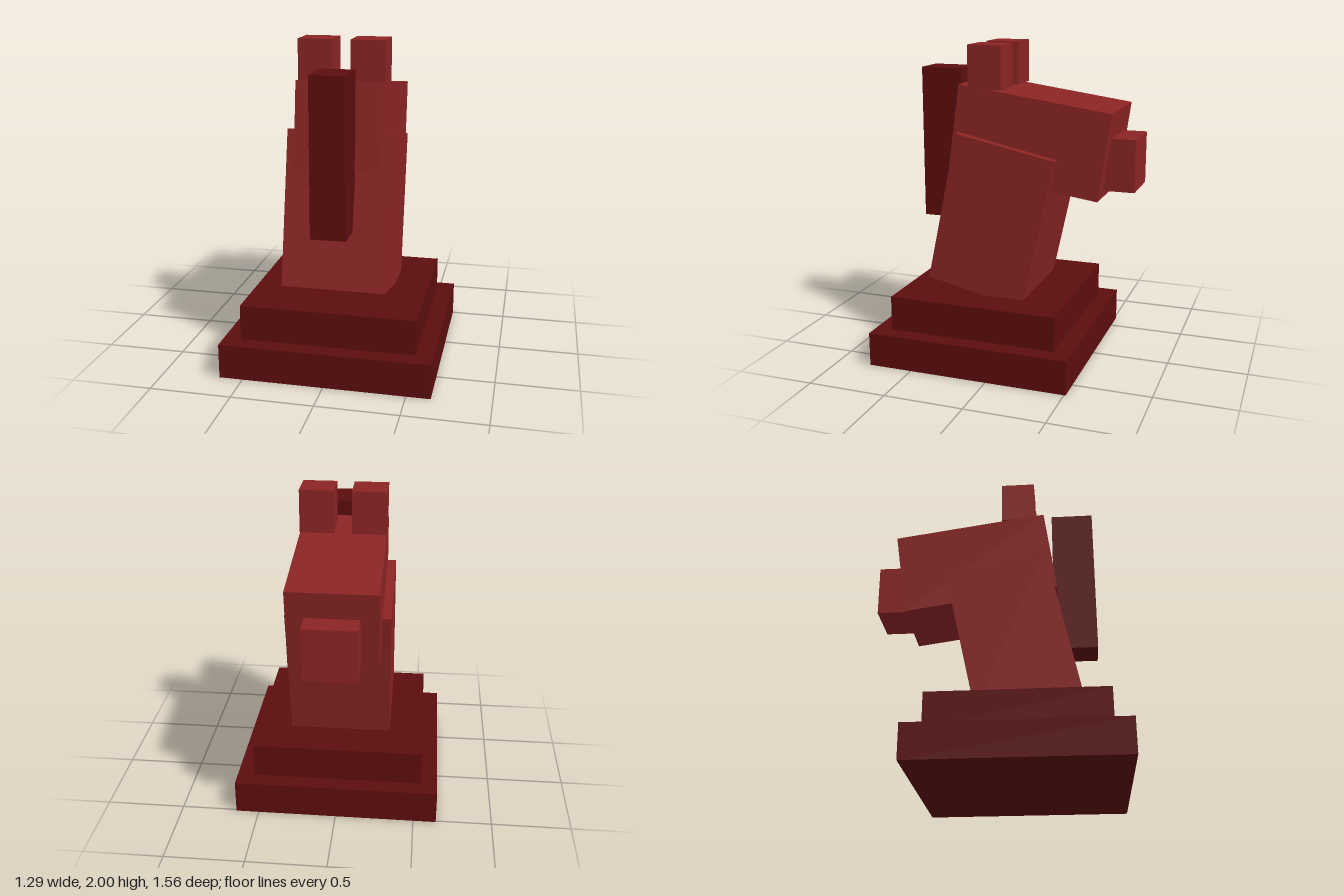
import * as THREE from 'three';

export function createModel() {
  const group = new THREE.Group();
  const red = new THREE.MeshStandardMaterial({ color: 0x8a2424 });
  red.name = 'red';
  const darkRed = new THREE.MeshStandardMaterial({ color: 0x5c0d0d });
  darkRed.name = 'dark red';

  // Box given by size and centre, tilted about x
  function block(name, material, size, centre, tilt = 0) {
    const mesh = new THREE.Mesh(new THREE.BoxGeometry(...size), material);
    mesh.name = name;
    mesh.position.set(...centre);
    mesh.rotation.x = tilt;
    group.add(mesh);
  }

  // Stepped pedestal
  block('lowerBase', darkRed, [1.292, 0.215, 1.292], [0, 0.1075, 0.135]);
  block('upperBase', darkRed, [1.076, 0.219, 1.076], [0, 0.3245, 0.136]);

  // Leaning neck and head
  block('neck', red, [0.645, 0.968, 0.645], [0, 0.923, 0.09], -0.2094);
  block('head', red, [0.537, 0.539, 0.969], [0, 1.425, -0.14], -0.1396);
  block('muzzle', red, [0.322, 0.322, 0.322], [0, 1.299, -0.621]);

  // Ears
  for (const side of [-1, 1]) {
    block(side > 0 ? 'leftEar' : 'rightEar', red, [0.214, 0.268, 0.214], [side * 0.161, 1.866, 0.136]);
  }

  // Mane
  block('mane', darkRed, [0.216, 0.969, 0.268], [0, 1.355, 0.486]);

  return group;
}
